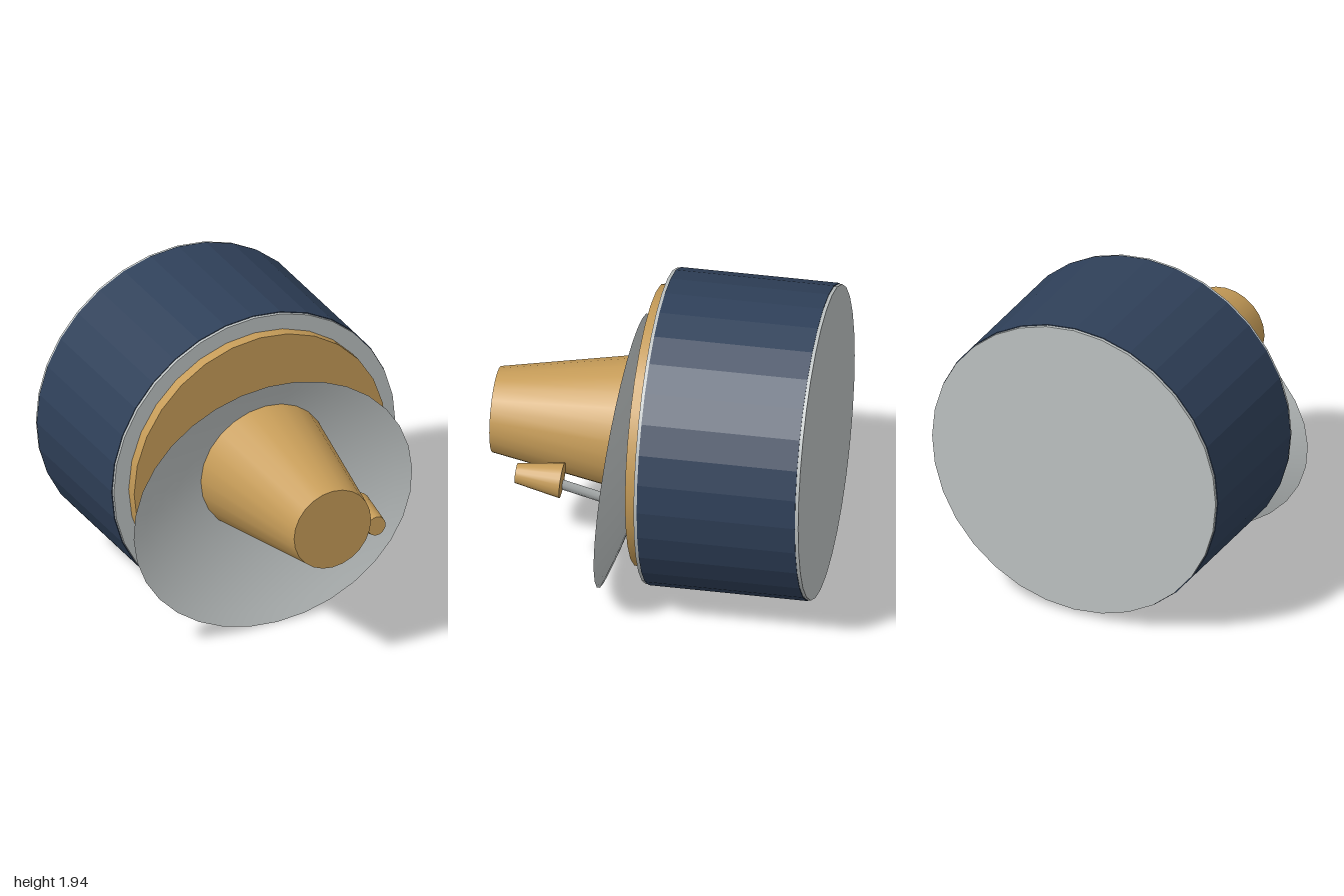
import * as THREE from 'three';

const AXIS_Y = 0.99;   // height of the main axis
const TILT = -0.071;   // dish and feed lean slightly upward

const gold = new THREE.MeshStandardMaterial({ color: 0xc69c58 });
gold.name = 'gold';
const grey = new THREE.MeshStandardMaterial({ color: 0xbcc1c1, side: THREE.DoubleSide });
grey.name = 'silver grey';
const navy = new THREE.MeshStandardMaterial({ color: 0x2f4059 });
navy.name = 'navy';

export function createModel() {
  const model = new THREE.Group();
  model.name = 'dishProbe';

  const add = (name, geometry, material) => {
    const mesh = new THREE.Mesh(geometry, material);
    mesh.name = name;
    model.add(mesh);
    return mesh;
  };

  // Round part lying along z, from z0 (radius r0) to z1 (radius r1)
  const barrel = (name, r0, r1, z0, z1, sides, material) => {
    const g = new THREE.CylinderGeometry(r1, r0, z1 - z0, sides).rotateX(Math.PI / 2);
    const mesh = add(name, g, material);
    mesh.position.set(0, AXIS_Y, (z0 + z1) / 2);
    return mesh;
  };

  // Drum body with end plates
  const body = barrel('body', 0.955, 0.955, -0.98, -0.02, 32, navy);
  body.geometry = body.geometry.toNonIndexed();
  body.geometry.computeVertexNormals();
  barrel('backPlate', 0.95, 0.95, -1, -0.98, 32, grey);
  barrel('frontPlate', 0.95, 0.95, -0.02, 0, 32, grey);

  // Mounting ring and tapered nose
  barrel('mountingRing', 0.85, 0.85, 0, 0.07, 28, gold);
  barrel('nose', 0.43, 0.26, 0.07, 1, 24, gold);

  // Shallow elliptical dish
  const profile = [];
  for (let i = 0; i <= 10; i++) {
    const r = i / 10;
    profile.push(new THREE.Vector2(r, 0.148 * (r * r - 1)));
  }
  const dishGeometry = new THREE.LatheGeometry(profile, 32)
    .rotateX(Math.PI / 2)
    .scale(0.94, 0.78, 1);
  const dish = add('dish', dishGeometry, grey);
  dish.position.set(0, 0.783, 0.235);
  dish.rotation.x = TILT;

  // Feed horn in front of the dish
  const feed = add('feedHorn', new THREE.CylinderGeometry(0.06, 0.108, 0.28, 20).rotateX(Math.PI / 2), gold);
  feed.position.set(0.397, 0.805, 0.672);
  feed.rotation.x = TILT;

  // Strut from the dish to the feed horn
  const from = new THREE.Vector3(0.03, 0.36, 0);
  const to = new THREE.Vector3(0.4, 0.79, 0.615);
  const along = to.clone().sub(from);
  const strut = add('feedStrut', new THREE.CylinderGeometry(0.03, 0.03, along.length(), 8), grey);
  strut.position.copy(from).add(to).multiplyScalar(0.5);
  strut.quaternion.setFromUnitVectors(new THREE.Vector3(0, 1, 0), along.normalize());

  return model;
}
